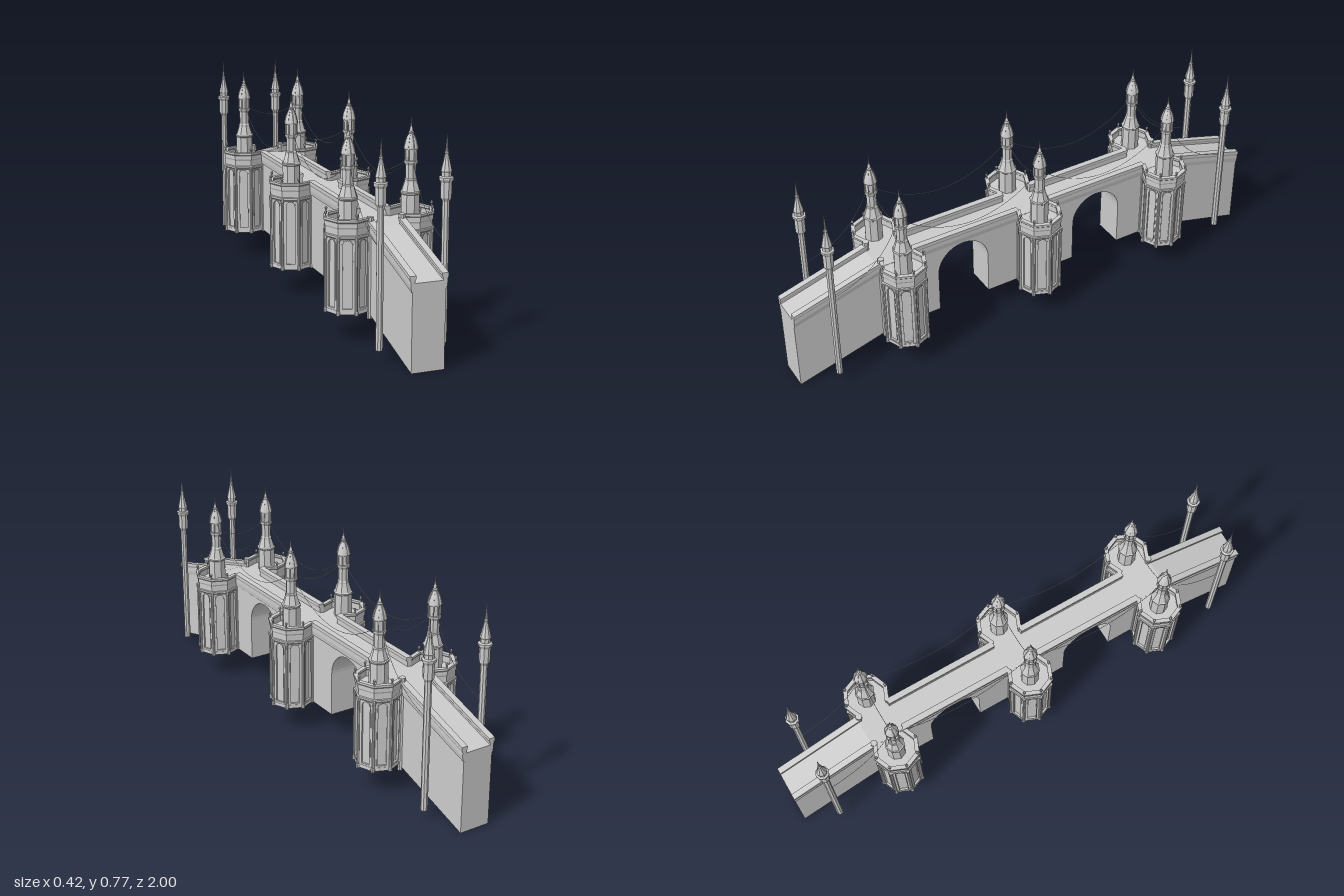
import * as THREE from 'three';

const mat = new THREE.MeshStandardMaterial({ color: 0xcccccc, flatShading: true, side: THREE.DoubleSide });
const V = (x, y) => new THREE.Vector2(x, y);

function add(parent, name, geo, x = 0, y = 0, z = 0) {
  const m = new THREE.Mesh(geo, mat);
  m.name = name;
  m.position.set(x, y, z);
  parent.add(m);
  return m;
}
const lathe = (pts, n = 8, start = 0, len = Math.PI * 2) =>
  new THREE.LatheGeometry(pts.map(p => V(p[0], p[1])), n, start, len);
// vertical prism between two heights
function prism(r0, r1, y0, y1, n = 8) {
  return new THREE.CylinderGeometry(r1, r0, y1 - y0, n).translate(0, (y0 + y1) / 2, 0);
}
const extrude = (shape, depth) =>
  new THREE.ExtrudeGeometry(shape, { depth, bevelEnabled: false, curveSegments: 12 });

// outline of an upright opening with a round head
function archPath(Type, w, y0, y1) {
  const r = w / 2, p = new Type();
  p.moveTo(-r, y0);
  p.lineTo(r, y0);
  p.lineTo(r, y1 - r);
  p.absarc(0, y1 - r, r, 0, Math.PI, false);
  p.lineTo(-r, y0);
  return p;
}

// long side profile with two arches and sloping ramps, extruded across the width
function bridgeBody() {
  const s = new THREE.Shape(), base = 0.105, r = 0.107, spring = 0.275;
  s.moveTo(-1, 0);
  s.lineTo(-0.65, 0.093);
  s.lineTo(-0.65, base);
  for (const c of [-0.3, 0.3]) {
    s.lineTo(c - r, base);
    s.lineTo(c - r, spring);
    s.absarc(c, spring, r, Math.PI, 0, true);
    s.lineTo(c + r, base);
  }
  s.lineTo(0.65, base);
  s.lineTo(0.65, 0.093);
  s.lineTo(1, 0);
  s.lineTo(1, 0.31);
  s.lineTo(0.65, 0.41);
  s.lineTo(-0.65, 0.41);
  s.lineTo(-1, 0.31);
  s.closePath();
  return extrude(s, 0.12).rotateY(-Math.PI / 2).translate(0.06, 0, 0);
}

// moulded wall from z0 to z1, its top running from y0 to y1
function parapet(side, z0, z1, y0, y1) {
  const prof = [[0.051, -0.055], [0.063, -0.055], [0.066, -0.036], [0.066, -0.02], [0.07, -0.012],
    [0.07, 0], [0.046, 0], [0.046, -0.01], [0.051, -0.018]];
  const g = extrude(new THREE.Shape(prof.map(p => V(p[0] * side, p[1]))), z1 - z0);
  const p = g.attributes.position;
  for (let i = 0; i < p.count; i++) {
    const t = p.getZ(i) / (z1 - z0);
    p.setXYZ(i, p.getX(i), p.getY(i) + y0 + (y1 - y0) * t, p.getZ(i) + z0);
  }
  g.computeVertexNormals();
  return g;
}

// spire with a stepped base, slim shaft, lantern and pointed dome
function spire() {
  const g = new THREE.Group();
  g.name = 'spire';
  add(g, 'spireShaft', lathe([[0.035, 0.405], [0.035, 0.5], [0.038, 0.503], [0.038, 0.508], [0.034, 0.511],
    [0.023, 0.545], [0.023, 0.552], [0.02, 0.556], [0.02, 0.604], [0.026, 0.614], [0.026, 0.62], [0, 0.62]]));
  add(g, 'lantern', prism(0.019, 0.021, 0.618, 0.662));
  add(g, 'dome', lathe([[0, 0.655], [0.025, 0.66], [0.026, 0.666], [0.024, 0.675], [0.02, 0.69], [0.013, 0.706],
    [0.009, 0.715], [0.01, 0.719], [0.006, 0.723], [0.006, 0.73], [0.003, 0.742], [0.0008, 0.77]], 16));
  for (let k = 0; k < 8; k++) {
    const a = k * Math.PI / 4;
    add(g, 'lanternColumn', prism(0.0025, 0.0025, 0.62, 0.662, 6), Math.sin(a) * 0.022, 0, Math.cos(a) * 0.022);
    const rib = new THREE.CatmullRomCurve3([[0.026, 0.664], [0.0205, 0.69], [0.009, 0.715]]
      .map(([r, y]) => new THREE.Vector3(Math.sin(a) * r, y, Math.cos(a) * r)));
    add(g, 'domeRib', new THREE.TubeGeometry(rib, 6, 0.0015, 4));
  }
  return g;
}

// octagonal tower whose outer side faces +x
function tower() {
  const g = new THREE.Group(), q = Math.PI / 4;
  g.name = 'tower';
  add(g, 'towerCore', prism(0.076, 0.076, 0.105, 0.39));
  add(g, 'towerFoot', prism(0.085, 0.084, 0.105, 0.118));
  add(g, 'towerCornice', lathe([[0.08, 0.372], [0.088, 0.38], [0.088, 0.387], [0.083, 0.39], [0, 0.39]]));
  add(g, 'balconyFloor', prism(0.083, 0.083, 0.388, 0.409));
  add(g, 'balconyParapet', lathe([[0.084, 0.388], [0.084, 0.412], [0.087, 0.418], [0.087, 0.433], [0.091, 0.437],
    [0.091, 0.445], [0.074, 0.445], [0.074, 0.437], [0.078, 0.433], [0.078, 0.405]], 6, -q, 6 * q));

  // wall panels with arched recesses
  const wall = new THREE.Shape([V(-0.032, 0.105), V(0.032, 0.105), V(0.032, 0.385), V(-0.032, 0.385)]);
  wall.holes.push(archPath(THREE.Path, 0.034, 0.125, 0.372));
  const trim = archPath(THREE.Shape, 0.04, 0.122, 0.375);
  trim.holes.push(archPath(THREE.Path, 0.032, 0.126, 0.371));
  const wallGeo = extrude(wall, 0.008).translate(0, 0, 0.0685);
  const trimGeo = extrude(trim, 0.004).translate(0, 0, 0.0745);
  for (let k = 0; k < 8; k++) {
    add(g, 'wallPanel', wallGeo).rotation.y = (k + 0.5) * q;
    add(g, 'windowTrim', trimGeo).rotation.y = (k + 0.5) * q;
    const s = Math.sin(k * q), c = Math.cos(k * q);
    add(g, 'cornerRib', lathe([[0, 0.102], [0.0075, 0.102], [0.0075, 0.114], [0.0055, 0.118], [0.0055, 0.365],
      [0.0075, 0.372], [0.0075, 0.386], [0, 0.386]]), s * 0.083, 0, c * 0.083);
    if (k < 5) {
      add(g, 'finial', lathe([[0.004, 0.444], [0.0025, 0.45], [0.0025, 0.454], [0.0055, 0.459], [0.0045, 0.464],
        [0, 0.468]]), s * 0.083, 0, c * 0.083);
    }
  }
  g.add(spire());
  return g;
}

// free-standing slender post with a capital and a pointed cap
function lampPost() {
  return lathe([[0, 0.045], [0.013, 0.045], [0.013, 0.54], [0.02, 0.552], [0.02, 0.605], [0.026, 0.615],
    [0.026, 0.622], [0.018, 0.625], [0.018, 0.638], [0.02, 0.642], [0.011, 0.68], [0.007, 0.7],
    [0.008, 0.704], [0.005, 0.71], [0.003, 0.735], [0.0008, 0.768]]);
}

// thin hanging chain through three points
function chain(a, b, c) {
  const curve = new THREE.QuadraticBezierCurve3(new THREE.Vector3(...a), new THREE.Vector3(...b), new THREE.Vector3(...c));
  return new THREE.TubeGeometry(curve, 24, 0.001, 4);
}

export function createModel() {
  const model = new THREE.Group();
  model.name = 'archedBridge';
  add(model, 'bridgeBody', bridgeBody());

  for (const side of [1, -1]) {
    const x = 0.118 * side;
    // parapets along the level deck and the ramps
    for (const [z0, z1] of [[0.06, 0.52], [-0.52, -0.06]]) {
      add(model, 'deckParapet', parapet(side, z0, z1, 0.446, 0.446));
    }
    add(model, 'rampParapet', parapet(side, 0.64, 1, 0.437, 0.335));
    add(model, 'rampParapet', parapet(side, -1, -0.64, 0.335, 0.437));

    for (const z of [-0.58, 0, 0.58]) {
      const t = tower();
      t.position.set(x, 0, z);
      if (side < 0) t.rotation.y = Math.PI;
      model.add(t);
    }
    for (const end of [1, -1]) {
      add(model, 'lampPost', lampPost(), x, 0, 0.866 * end);
      add(model, 'rampPillar', lathe([[0, 0.08], [0.01, 0.08], [0.01, 0.425], [0.013, 0.432], [0.013, 0.447],
        [0, 0.447]]), 0.06 * side, 0, 0.642 * end);
      add(model, 'sideChain', chain([x, 0.62, 0.02 * end], [x, 0.415, 0.29 * end], [x, 0.62, 0.56 * end]));
      add(model, 'endChain', chain([x, 0.62, 0.6 * end], [x, 0.44, 0.68 * end], [x, 0.4, 0.86 * end]));
    }
  }
  for (const z of [-0.58, 0, 0.58]) {
    add(model, 'crossChain', chain([-0.1, 0.62, z], [0, 0.56, z], [0.1, 0.62, z]));
  }
  return model;
}
